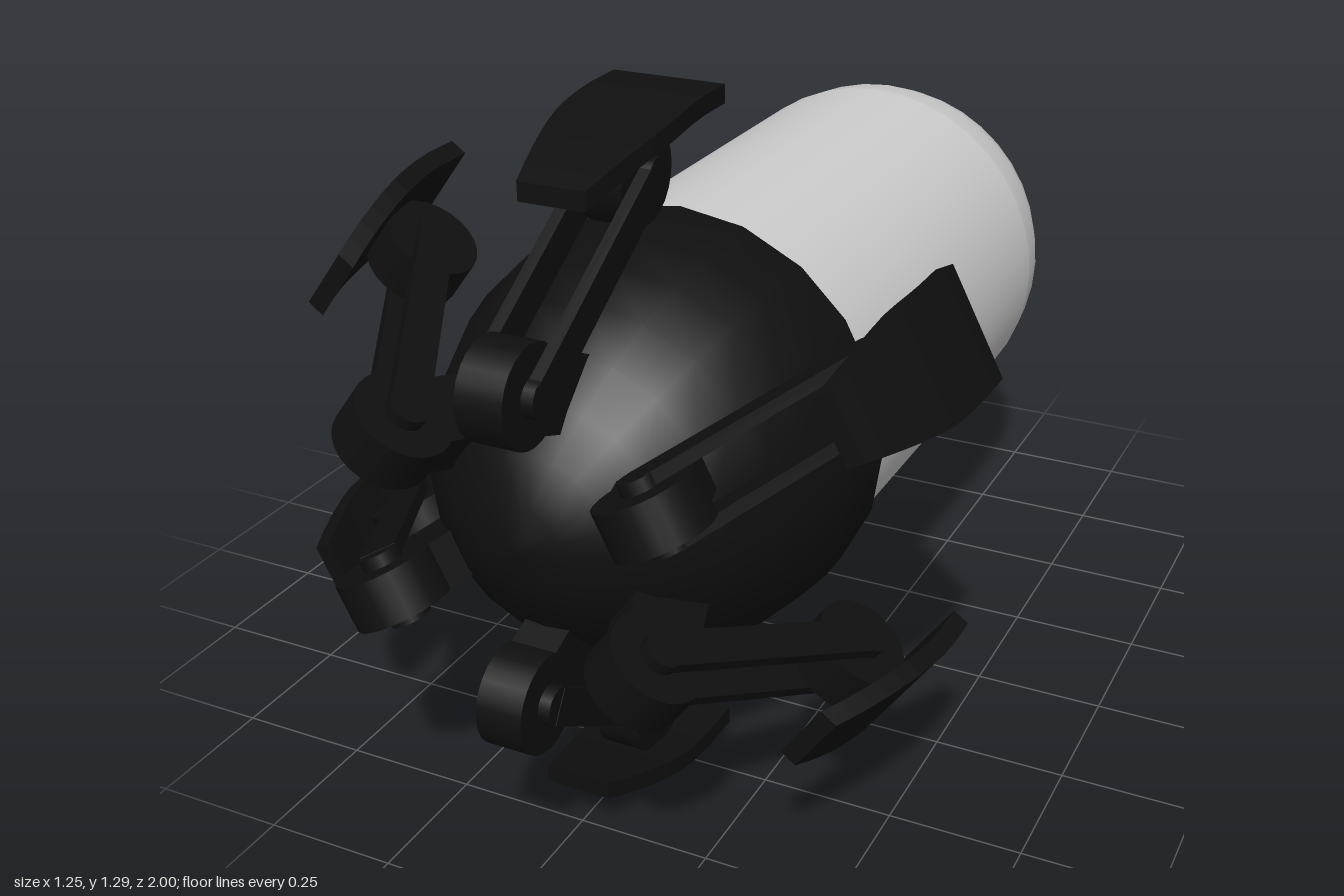
import * as THREE from 'three';

export function createModel() {
  const model = new THREE.Group();
  const black = new THREE.MeshStandardMaterial({ color: 0x0f0f0f });
  black.name = 'black';
  const grey = new THREE.MeshStandardMaterial({ color: 0xcccccc });
  grey.name = 'light grey';

  const body = new THREE.Group();
  body.name = 'craft';
  body.position.y = 0.648;
  model.add(body);

  const add = (parent, name, geometry, material = black) => {
    const mesh = new THREE.Mesh(geometry, material);
    mesh.name = name;
    parent.add(mesh);
    return mesh;
  };
  // Surface turned around the z axis from [radius, z] points, back to front
  const turned = (points, sides = 20) =>
    new THREE.LatheGeometry(points.map(([r, z]) => new THREE.Vector2(r, z)), sides).rotateX(Math.PI / 2);

  // Hull
  add(body, 'hullTail', turned([
    [0.18, -0.925], [0.24, -0.88], [0.295, -0.82], [0.34, -0.75], [0.365, -0.68], [0.376, -0.6],
  ], 40), grey);
  add(body, 'hullTube', turned([[0.376, -0.6], [0.376, 0.32]], 40), grey);
  add(body, 'tailCapFace', turned([[0, -1], [0.1, -0.999], [0.16, -0.99]]));
  add(body, 'tailCapSide', turned([[0.16, -0.99], [0.19, -0.92]]));
  add(body, 'tailCapRim', turned([[0.19, -0.92], [0.15, -0.915]]));

  // Domed nose with a bevelled rear collar
  add(body, 'noseRearFace', turned([[0.35, 0.305], [0.388, 0.305]]));
  add(body, 'noseBevel', turned([[0.388, 0.305], [0.402, 0.33]]));
  add(body, 'nose', turned([
    [0.402, 0.33], [0.402, 0.4], [0.394, 0.48], [0.37, 0.57], [0.335, 0.66], [0.285, 0.74],
    [0.22, 0.81], [0.15, 0.865], [0.075, 0.9], [0, 0.912],
  ]));

  // Curved foot pad, tapering towards the front
  function padGeometry() {
    const geometry = new THREE.BoxGeometry(2, 0.034, 0.4, 1, 1, 10).toNonIndexed();
    const p = geometry.attributes.position;
    for (let i = 0; i < p.count; i++) {
      const z = p.getZ(i) + 0.56;
      const bend = Math.max(0, (z - 0.42) / 0.34);
      const taper = Math.max(0, (z - 0.54) / 0.22);
      p.setXYZ(i, p.getX(i) * (0.107 - 0.045 * taper ** 1.3), p.getY(i) + 0.629 - 0.075 * bend ** 1.7, z);
    }
    geometry.computeVertexNormals();
    return geometry;
  }

  const hip = { y: 0.282, z: 0.91 };
  const ankle = { y: 0.524, z: 0.525 };
  const joint = new THREE.CylinderGeometry(0.088, 0.088, 0.086, 24).rotateZ(Math.PI / 2);
  const pin = new THREE.CylinderGeometry(0.035, 0.035, 0.13, 16).rotateZ(Math.PI / 2);
  const pad = padGeometry();

  // Box lying between two points in the leg's y-z plane
  function bar(parent, name, x, width, height, a, b) {
    const mesh = add(parent, name, new THREE.BoxGeometry(width, height, Math.hypot(b.y - a.y, b.z - a.z)));
    mesh.position.set(x, (a.y + b.y) / 2, (a.z + b.z) / 2);
    mesh.rotation.x = -Math.atan2(b.y - a.y, b.z - a.z);
  }

  // Six folding legs around the nose
  [27, 90, 143.5, 207, 270, 324].forEach((degrees) => {
    const leg = new THREE.Group();
    leg.name = 'leg';
    leg.rotation.z = THREE.MathUtils.degToRad(degrees - 90);
    body.add(leg);
    for (const [name, at] of [['hip', hip], ['ankle', ankle]]) {
      add(leg, name + 'Joint', joint).position.set(0, at.y, at.z);
      add(leg, name + 'Pin', pin).position.set(0, at.y, at.z);
    }
    bar(leg, 'hipBracket', 0, 0.086, 0.13, { y: 0.2, z: 0.7 }, hip);
    bar(leg, 'footBracket', 0, 0.086, 0.1, { y: 0.58, z: 0.525 }, ankle);
    for (const side of [-1, 1]) bar(leg, 'arm', side * 0.055, 0.022, 0.065, hip, ankle);
    add(leg, 'footPad', pad);
  });

  return model;
}
